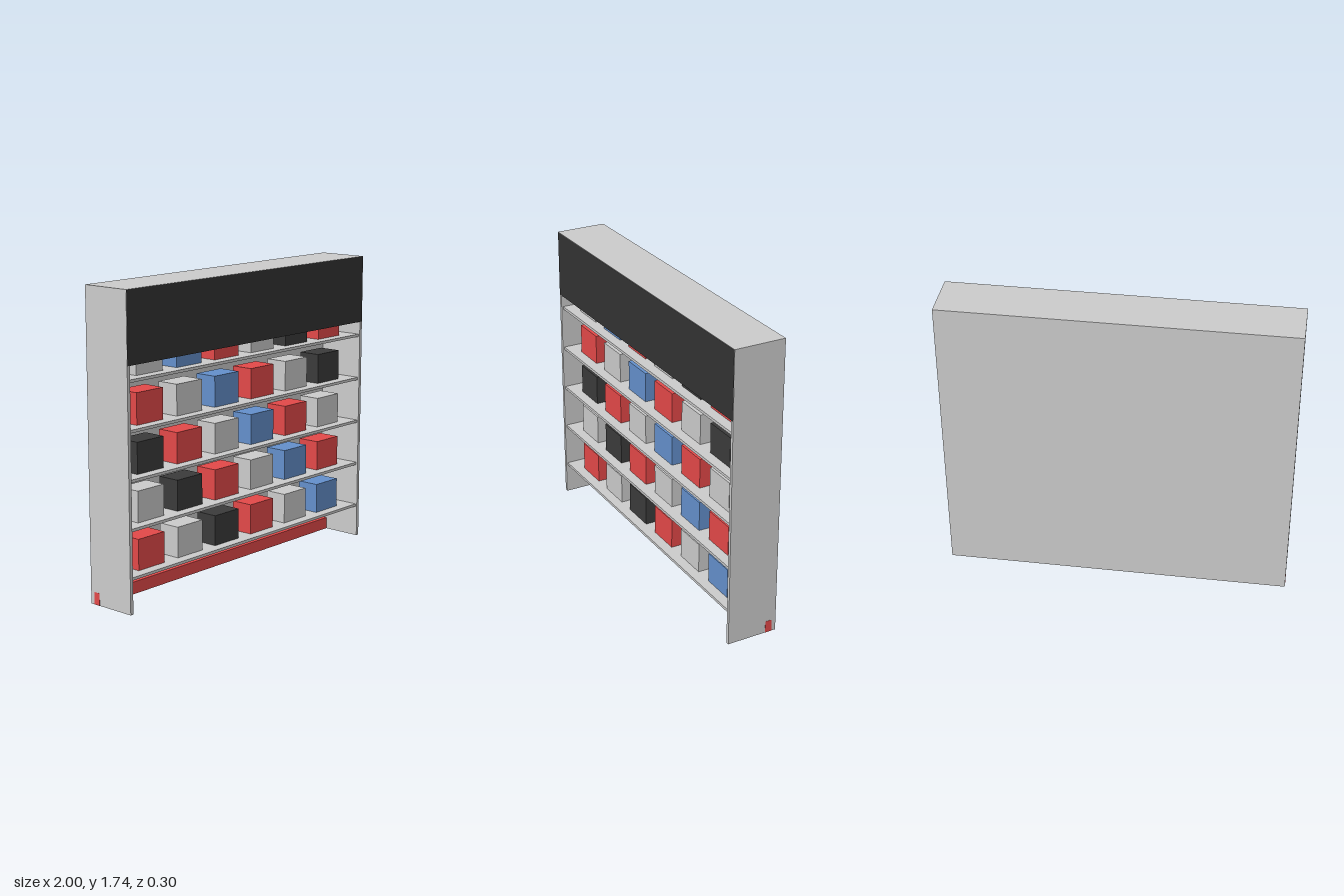
import * as THREE from 'three';

const paint = (color) => new THREE.MeshStandardMaterial({ color });
const grey = paint(0xcccccc);
const red = paint(0xe44949);
const blue = paint(0x6490cc);
const black = paint(0x3b3b3b);
const signBlack = paint(0x333333);

const W = 2, H = 1.735, D = 0.3, T = 0.02;

export function createModel() {
  const model = new THREE.Group();

  // Box given by its min and max on each axis
  function block(name, [x0, x1], [y0, y1], [z0, z1], material, parent = model) {
    const mesh = new THREE.Mesh(new THREE.BoxGeometry(x1 - x0, y1 - y0, z1 - z0), material);
    mesh.position.set((x0 + x1) / 2, (y0 + y1) / 2, (z0 + z1) / 2);
    mesh.name = name;
    parent.add(mesh);
  }

  // Cabinet shell, open at the front and bottom
  const inner = [-W / 2 + T, W / 2 - T];
  block('leftSide', [W / 2 - T, W / 2], [0, H], [-D / 2, D / 2], grey);
  block('rightSide', [-W / 2, -W / 2 + T], [0, H], [-D / 2, D / 2], grey);
  block('backPanel', inner, [0, H], [-D / 2, -D / 2 + T], grey);
  block('topPanel', inner, [H - T, H], [-D / 2, D / 2], grey);

  // Header board across the front, and the set-back base strip
  block('headerBoard', [-0.998, 0.998], [1.34, H - 0.002], [D / 2 - T, D / 2 + 0.001], signBlack);
  block('baseStrip', [-1.001, 1.001], [0, 0.07], [-0.125, -0.085], red);

  // Shelves, each with a row of boxes whose colours shift by one per row
  const colours = [red, grey, black, red, grey, blue];
  for (let row = 0; row < 5; row++) {
    const y = 0.2 + row * 0.266;
    const shelfRow = new THREE.Group();
    shelfRow.name = `shelfRow${row + 1}`;
    model.add(shelfRow);
    block('shelf', inner, [y - 0.016, y], [-D / 2 + T, 0.14], grey, shelfRow);
    for (let col = 0; col < 6; col++) {
      const x = (col - 2.5) * 0.306;
      block('goodsBox', [x - 0.1, x + 0.1], [y, y + 0.175], [-0.055, 0.08],
        colours[(row + col) % 6], shelfRow);
    }
  }
  return model;
}
